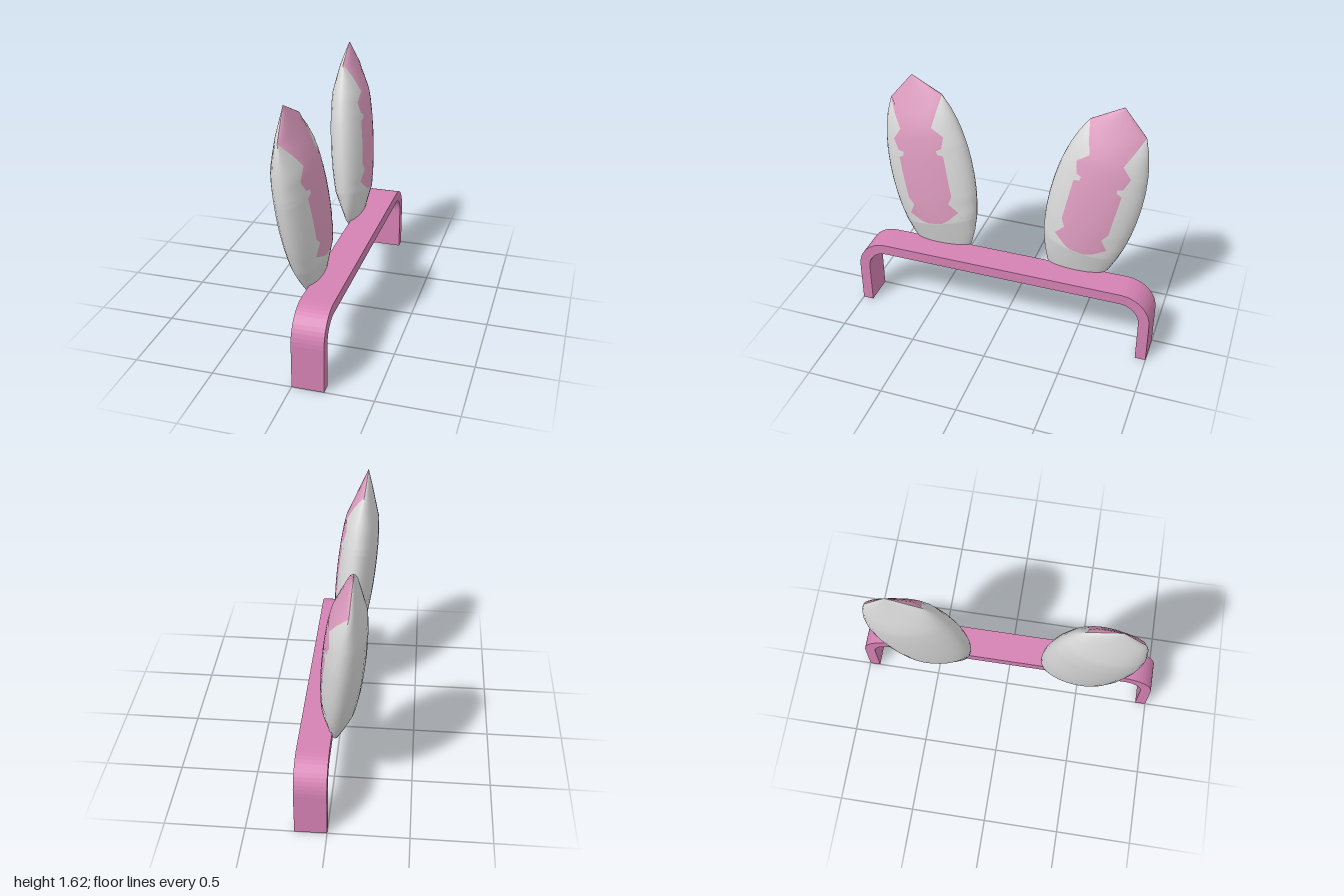
import * as THREE from 'three';

const bandPink = new THREE.MeshStandardMaterial({ color: 0xd481b2 });
bandPink.name = 'bandPink';
const earWhite = new THREE.MeshStandardMaterial({ color: 0xd9d9d9 });
earWhite.name = 'earWhite';
const innerEarPink = new THREE.MeshStandardMaterial({ color: 0xdc9bbe });
innerEarPink.name = 'innerEarPink';

// Ear proportions: half length, half width, half depth
const L = 0.667, W = 0.29, D = 0.13;
// [height along the ear, half width of the pink patch]; 1 means full width
const rows = [
  [-L, 0], [-0.53, 0.05], [-0.43, 0.05], [-0.335, 0.05], [-0.328, 0.05],
  [-0.308, 0.095], [-0.257, 0.172], [-0.185, 0.123], [-0.134, 0.154],
  [-0.04, 0.154], [0.06, 0.155], [0.15, 0.155], [0.165, 0.12], [0.19, 0.115],
  [0.2, 0.15], [0.273, 0.174], [0.342, 0.108], [0.43, 0.144], [0.525, 1], [L, 1],
];
const patchStart = 4;

// Angles around one cross-section: pink strip, white edge, back, white edge
function ringAngles(a) {
  const stops = [[-a, a, 8], [a, Math.PI / 2, 5], [Math.PI / 2, Math.PI * 1.5, 14], [Math.PI * 1.5, Math.PI * 2 - a, 5]];
  return stops.flatMap(([from, to, n]) =>
    Array.from({ length: n }, (_, i) => from + (to - from) * i / n));
}

// side = 1 for the +z ear, -1 for its mirror image
function makeEar(side) {
  const up = new THREE.Vector3(-0.125, 1.3, 0.27).normalize();
  const across = new THREE.Vector3(0, -0.27, 1.3).normalize();
  const out = new THREE.Vector3().crossVectors(up, across).normalize();
  const frame = new THREE.Matrix4().makeBasis(out, up, across).setPosition(-0.0625, 0.97, 0.545);

  const positions = [], white = [], pink = [], cols = 32, v = new THREE.Vector3();
  for (const [h, half] of rows) {
    const round = Math.sqrt(Math.max(0, 1 - (h / L) ** 2));
    const w = W * round;
    const d = D * Math.min(round, 0.866 * (L - Math.abs(h)) / (L / 2));
    const a = half === 1 ? Math.PI / 2 : w > 0 ? Math.asin(Math.min(1, half / w)) : 0.3;
    for (const t of ringAngles(a)) {
      v.set(d * Math.cos(t), h, w * Math.sin(t)).applyMatrix4(frame);
      positions.push(v.x, v.y, v.z * side);
    }
  }
  const tri = (list, a, b, c) => side > 0 ? list.push(a, b, c) : list.push(a, c, b);
  for (let r = 0; r < rows.length - 1; r++) {
    for (let c = 0; c < cols; c++) {
      const list = r >= patchStart && c < 8 ? pink : white;
      const a = r * cols + c, b = r * cols + (c + 1) % cols;
      if (r < rows.length - 2) tri(list, a, a + cols, b + cols);
      else tri(list, a, a + cols, b);
      if (r > 0 && r < rows.length - 2) tri(list, a, b + cols, b);
    }
  }
  const geo = new THREE.BufferGeometry();
  geo.setAttribute('position', new THREE.Float32BufferAttribute(positions, 3));
  geo.setIndex([...white, ...pink]);
  geo.addGroup(0, white.length, 0);
  geo.addGroup(white.length, pink.length, 1);
  geo.computeVertexNormals();
  return new THREE.Mesh(geo, [earWhite, innerEarPink]);
}

// Arched strip with rounded upper corners
function makeBand() {
  const s = new THREE.Shape();
  s.moveTo(1, 0);
  s.lineTo(1, 0.287);
  s.absarc(0.8, 0.287, 0.2, 0, Math.PI / 2, false);
  s.lineTo(-0.8, 0.487);
  s.absarc(-0.8, 0.287, 0.2, Math.PI / 2, Math.PI, false);
  s.lineTo(-1, 0);
  s.lineTo(-0.93, 0);
  s.lineTo(-0.93, 0.287);
  s.absarc(-0.8, 0.287, 0.13, Math.PI, Math.PI / 2, true);
  s.lineTo(0.8, 0.417);
  s.absarc(0.8, 0.287, 0.13, Math.PI / 2, 0, true);
  s.lineTo(0.93, 0);
  const geo = new THREE.ExtrudeGeometry(s, { depth: 0.2, bevelEnabled: false, curveSegments: 6 });
  geo.rotateY(Math.PI / 2);
  return new THREE.Mesh(geo, bandPink);
}

export function createModel() {
  const model = new THREE.Group();
  model.name = 'earHeadband';
  const band = makeBand();
  band.name = 'headband';
  model.add(band);
  for (const side of [1, -1]) {
    const ear = makeEar(side);
    ear.name = side > 0 ? 'frontEar' : 'backEar';
    model.add(ear);
  }
  return model;
}
